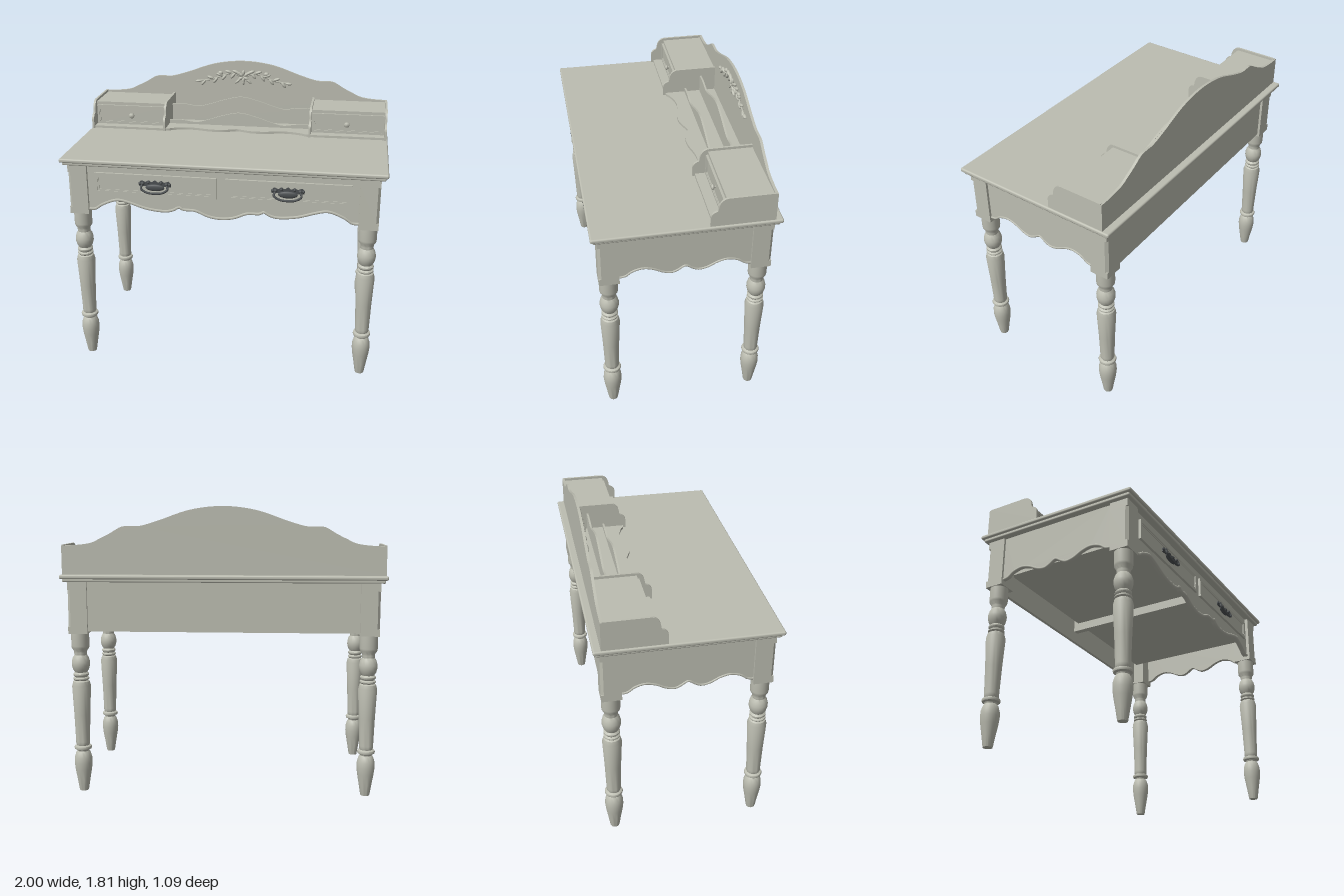
import * as THREE from 'three';
import { toCreasedNormals } from 'three/addons/utils/BufferGeometryUtils.js';
import { RoundedBoxGeometry } from 'three/addons/geometries/RoundedBoxGeometry.js';

const paint = new THREE.MeshStandardMaterial({ color: 0xbcbdb1 });
paint.name = 'greyPaint';
const iron = new THREE.MeshStandardMaterial({ color: 0x4c5052 });
iron.name = 'darkIron';

function add(parent, name, geo, x = 0, y = 0, z = 0, mat = paint) {
  const m = new THREE.Mesh(geo, mat);
  m.name = name;
  m.position.set(x, y, z);
  parent.add(m);
  return m;
}

// Box given by its min and max corners
function block(parent, name, x0, x1, y0, y1, z0, z1) {
  return add(parent, name, new THREE.BoxGeometry(x1 - x0, y1 - y0, z1 - z0),
    (x0 + x1) / 2, (y0 + y1) / 2, (z0 + z1) / 2);
}

// Smooth symmetric curve from the points of one half, ending at the centre
function mirrorCurve(half) {
  const pts = half.concat(half.slice(0, -1).reverse().map(([x, y]) => [-x, y]));
  return new THREE.SplineCurve(pts.map(([x, y]) => new THREE.Vector2(x, y))).getPoints(96);
}

function extrude(shape, depth) {
  const geo = new THREE.ExtrudeGeometry(shape, { depth, bevelEnabled: false, curveSegments: 10 });
  return toCreasedNormals(geo, 0.5);
}

// Board with one shaped edge and one straight edge
function shapedBoard(half, flat, depth) {
  const c = mirrorCurve(half);
  const end = c[c.length - 1];
  return extrude(new THREE.Shape([...c, new THREE.Vector2(end.x, flat), new THREE.Vector2(c[0].x, flat)]), depth);
}

// Bead that follows a shaped edge
function bead(half, r) {
  const pts = mirrorCurve(half).map((p) => new THREE.Vector3(p.x, p.y, 0));
  return new THREE.TubeGeometry(new THREE.CatmullRomCurve3(pts), 110, r, 6);
}

function rectPath(P, w, h) {
  return new P([[-w, -h], [w, -h], [w, h], [-w, h]].map(([x, y]) => new THREE.Vector2(x / 2, y / 2)));
}

// Flat panel with a raised moulding in two steps
function drawerFront(w, h, border) {
  const g = new THREE.Group();
  add(g, 'drawerPanel', new THREE.BoxGeometry(w, h, 0.008), 0, 0, 0.004);
  [[0, border, 0.016], [border, border * 0.5, 0.012]].forEach(([inset, b, d]) => {
    const s = rectPath(THREE.Shape, w - 2 * inset, h - 2 * inset);
    s.holes.push(rectPath(THREE.Path, w - 2 * (inset + b), h - 2 * (inset + b)));
    add(g, 'drawerMoulding', extrude(s, d));
  });
  return g;
}

// Hanging pull with a fretted backplate
function pull() {
  const g = new THREE.Group();
  g.name = 'drawerPull';
  const half = [[-0.1, 0.012], [-0.085, 0.03], [-0.06, 0.022], [-0.04, 0.032], [-0.02, 0.022], [0, 0.034]];
  add(g, 'backplate', shapedBoard(half, -0.004, 0.006), 0, 0, 0, iron);
  const bail = new THREE.CatmullRomCurve3([[-0.075, 0.012, 0.015], [-0.083, -0.014, 0.026], [-0.05, -0.036, 0.03],
    [0, -0.042, 0.031], [0.05, -0.036, 0.03], [0.083, -0.014, 0.026], [0.075, 0.012, 0.015]]
    .map((p) => new THREE.Vector3(...p)));
  add(g, 'bail', new THREE.TubeGeometry(bail, 32, 0.007, 8), 0, 0, 0, iron);
  const fan = add(g, 'fan', new THREE.SphereGeometry(1, 20, 10), 0, -0.012, 0.006, iron);
  fan.scale.set(0.06, 0.022, 0.01);
  for (const s of [-1, 1]) {
    add(g, 'post', new THREE.SphereGeometry(0.012, 12, 8), s * 0.075, 0.014, 0.012, iron);
    add(g, 'rosette', new THREE.SphereGeometry(0.01, 10, 8), s * 0.093, 0.012, 0.006, iron);
    add(g, 'rosette', new THREE.SphereGeometry(0.009, 10, 8), s * 0.04, 0.02, 0.006, iron);
  }
  return g;
}

// Square leg head with a stopped chamfer, above a turned leg
const turning = [[0, 0], [0.028, 0], [0.03, 0.008], [0.04, 0.07], [0.052, 0.14], [0.057, 0.185], [0.055, 0.22],
  [0.046, 0.25], [0.037, 0.262], [0.04, 0.27], [0.053, 0.276], [0.056, 0.285], [0.053, 0.294], [0.04, 0.3],
  [0.044, 0.31], [0.044, 0.325], [0.05, 0.5], [0.059, 0.68], [0.058, 0.69], [0.051, 0.716], [0.042, 0.722],
  [0.05, 0.73], [0.05, 0.738], [0.04, 0.745], [0.049, 0.756], [0.049, 0.765], [0.039, 0.775], [0.05, 0.793],
  [0.057, 0.82], [0.057, 0.84], [0.05, 0.868], [0.039, 0.885], [0.041, 0.9], [0.041, 0.91], [0.054, 0.93],
  [0.056, 0.945], [0.056, 1.03]];

function leg(sx, sz) {
  const g = new THREE.Group();
  g.name = 'leg';
  const geo = new THREE.LatheGeometry(turning.map(([r, y]) => new THREE.Vector2(r, y)), 28);
  add(g, 'turnedLeg', toCreasedNormals(geo, 0.7));
  const a = 0.06;
  [[1.025, 1.07, 0], [1.07, 1.3, 0.016], [1.3, 1.36, 0]].forEach(([y0, y1, c]) => {
    const pts = [[-a, -a], [a, -a], [a, a - c], [a - c, a], [-a, a]].slice(0, c ? 5 : 4);
    if (!c) pts.splice(2, 2, [a, a], [-a, a]);
    const s = new THREE.Shape(pts.map(([x, z]) => new THREE.Vector2(x * sx, z * sz)));
    add(g, 'legHead', extrude(s, y1 - y0).rotateX(Math.PI / 2), 0, y1, 0);
  });
  g.position.set(sx * 0.9, 0, sz * 0.446);
  return g;
}

// Carved spray of leaves and blossoms
function carving() {
  const g = new THREE.Group();
  g.name = 'carvedSpray';
  const petal = (x, y, len, wid, ang) => {
    const m = add(g, 'carvedLeaf', new THREE.SphereGeometry(1, 10, 8), x, y, 0);
    m.scale.set(len, wid, 0.012);
    m.rotation.z = ang;
  };
  for (const s of [-1, 1]) {
    const stem = new THREE.CatmullRomCurve3([[0, 1.7], [0.08, 1.725], [0.15, 1.705], [0.22, 1.68], [0.33, 1.663]]
      .map(([x, y]) => new THREE.Vector3(s * x, y, 0)));
    add(g, 'carvedStem', new THREE.TubeGeometry(stem, 32, 0.006, 6));
    for (let i = 1; i < 9; i++) {
      const p = stem.getPoint(i / 9);
      const side = i % 2 ? 1 : -1;
      petal(p.x, p.y + side * 0.014, 0.026, 0.01, s * (side * 0.6 - 0.3));
    }
    petal(s * 0.315, 1.664, 0.024, 0.009, -s * 0.1);
    petal(s * 0.05, 1.735, 0.03, 0.011, s * 0.4);
    petal(s * 0.035, 1.675, 0.03, 0.009, -s * 0.7);
    petal(s * 0.16, 1.725, 0.018, 0.015, 0);
  }
  for (let i = 0; i < 6; i++) {
    const a = i * Math.PI / 3 + Math.PI / 2;
    petal(Math.cos(a) * 0.022, 1.705 + Math.sin(a) * 0.026, 0.02, 0.011, a);
  }
  petal(0, 1.665, 0.02, 0.009, Math.PI / 2);
  return g;
}

export function createModel() {
  const desk = new THREE.Group();
  desk.name = 'writingDesk';

  // Table top with a stepped edge
  add(desk, 'tableTop', new RoundedBoxGeometry(2, 0.026, 1.09, 3, 0.01), 0, 1.382, 0);
  add(desk, 'topMoulding', new RoundedBoxGeometry(1.97, 0.026, 1.06, 2, 0.008), 0, 1.363, 0);

  for (const sx of [-1, 1]) for (const sz of [-1, 1]) desk.add(leg(sx, sz));

  // Aprons
  const frontEdge = [[-0.84, 1.05], [-0.8, 1.052], [-0.75, 1.085], [-0.66, 1.118], [-0.58, 1.105], [-0.47, 1.072],
    [-0.36, 1.06], [-0.3, 1.072], [-0.265, 1.092], [-0.235, 1.078], [-0.16, 1.075], [-0.08, 1.043], [0, 1.032]];
  add(desk, 'frontApron', shapedBoard(frontEdge, 1.36, 0.025), 0, 0, 0.46);
  add(desk, 'frontBead', bead(frontEdge, 0.009), 0, 0.006, 0.486);
  const sideEdge = [[-0.387, 1.055], [-0.35, 1.062], [-0.31, 1.09], [-0.25, 1.105], [-0.19, 1.092], [-0.13, 1.062],
    [-0.08, 1.052], [-0.045, 1.065], [0, 1.09]];
  for (const s of [-1, 1]) {
    const side = new THREE.Group();
    side.name = 'sideApron';
    add(side, 'sidePanel', shapedBoard(sideEdge, 1.36, 0.02));
    add(side, 'sideBead', bead(sideEdge, 0.007), 0, 0.005, 0.02);
    side.position.x = s * 0.925;
    side.rotation.y = s * Math.PI / 2;
    desk.add(side);
  }
  block(desk, 'backPanel', -0.84, 0.84, 1.04, 1.36, -0.49, -0.47);

  // Drawers, their boxes below and the runner between them
  for (const s of [-1, 1]) {
    const front = drawerFront(0.765, 0.134, 0.018);
    front.name = 'drawerFront';
    front.position.set(s * 0.41, 1.235, 0.485);
    desk.add(front);
    const handle = pull();
    handle.position.set(s * 0.41, 1.235, 0.493);
    desk.add(handle);
    block(desk, 'drawerBox', s * 0.42 - 0.39, s * 0.42 + 0.39, 1.165, 1.34, -0.43, 0.46);
  }
  block(desk, 'centreRunner', -0.02, 0.02, 1.115, 1.34, -0.47, 0.46);

  // Upper shelf: base, backboard and letter dividers
  const baseEdge = [[-0.985, -0.14], [-0.7, -0.14], [-0.49, -0.14], [-0.43, -0.165], [-0.35, -0.187], [-0.28, -0.184],
    [-0.18, -0.162], [-0.1, -0.162], [-0.04, -0.182], [0, -0.195]];
  add(desk, 'shelfBase', shapedBoard(baseEdge, -0.49, 0.018).rotateX(Math.PI / 2), 0, 1.41, 0);
  const backEdge = [[-0.99, 1.572], [-0.9, 1.575], [-0.81, 1.588], [-0.75, 1.615], [-0.69, 1.645], [-0.62, 1.685],
    [-0.56, 1.69], [-0.5, 1.692], [-0.39, 1.724], [-0.2, 1.788], [0, 1.811]];
  add(desk, 'backboard', shapedBoard(backEdge, 1.395, 0.016), 0, 0, -0.5);
  const divider = [[-0.49, 0.02], [-0.4, 0.022], [-0.3, 0.01], [-0.22, 0.028], [-0.12, 0.06], [0, 0.085]];
  [['rearDivider', 1.5, -0.39], ['frontDivider', 1.415, -0.285]].forEach(([name, y, z]) => {
    add(desk, name, shapedBoard(divider, 1.395 - y, 0.012), 0, y, z);
  });
  const spray = carving();
  spray.position.z = -0.478;
  desk.add(spray);

  // Small drawer cabinets with scrolled ends
  const end = new THREE.Shape();
  end.moveTo(0.49, 1.395);
  end.lineTo(0.125, 1.395);
  end.lineTo(0.125, 1.455);
  end.quadraticCurveTo(0.128, 1.485, 0.163, 1.495);
  end.lineTo(0.167, 1.51);
  end.quadraticCurveTo(0.172, 1.572, 0.225, 1.576);
  end.lineTo(0.49, 1.576);
  for (const s of [-1, 1]) {
    for (const x of [0.49, 0.983]) {
      const e = add(desk, 'cabinetEnd', extrude(end, 0.014), s * x - 0.007, 0, 0);
      e.geometry.rotateY(Math.PI / 2);
    }
    block(desk, 'cabinetBox', s * 0.7365 - 0.241, s * 0.7365 + 0.241, 1.405, 1.56, -0.485, -0.215);
    const front = drawerFront(0.472, 0.13, 0.014);
    front.name = 'smallDrawerFront';
    front.position.set(s * 0.7365, 1.475, -0.217);
    desk.add(front);
    const knob = new THREE.LatheGeometry([[0.009, 0], [0.008, 0.008], [0.018, 0.014], [0.018, 0.02], [0.012, 0.026], [0, 0.028]]
      .map(([r, y]) => new THREE.Vector2(r, y)), 20);
    add(desk, 'knob', knob.rotateX(Math.PI / 2), s * 0.73, 1.473, -0.21);
  }
  return desk;
}
